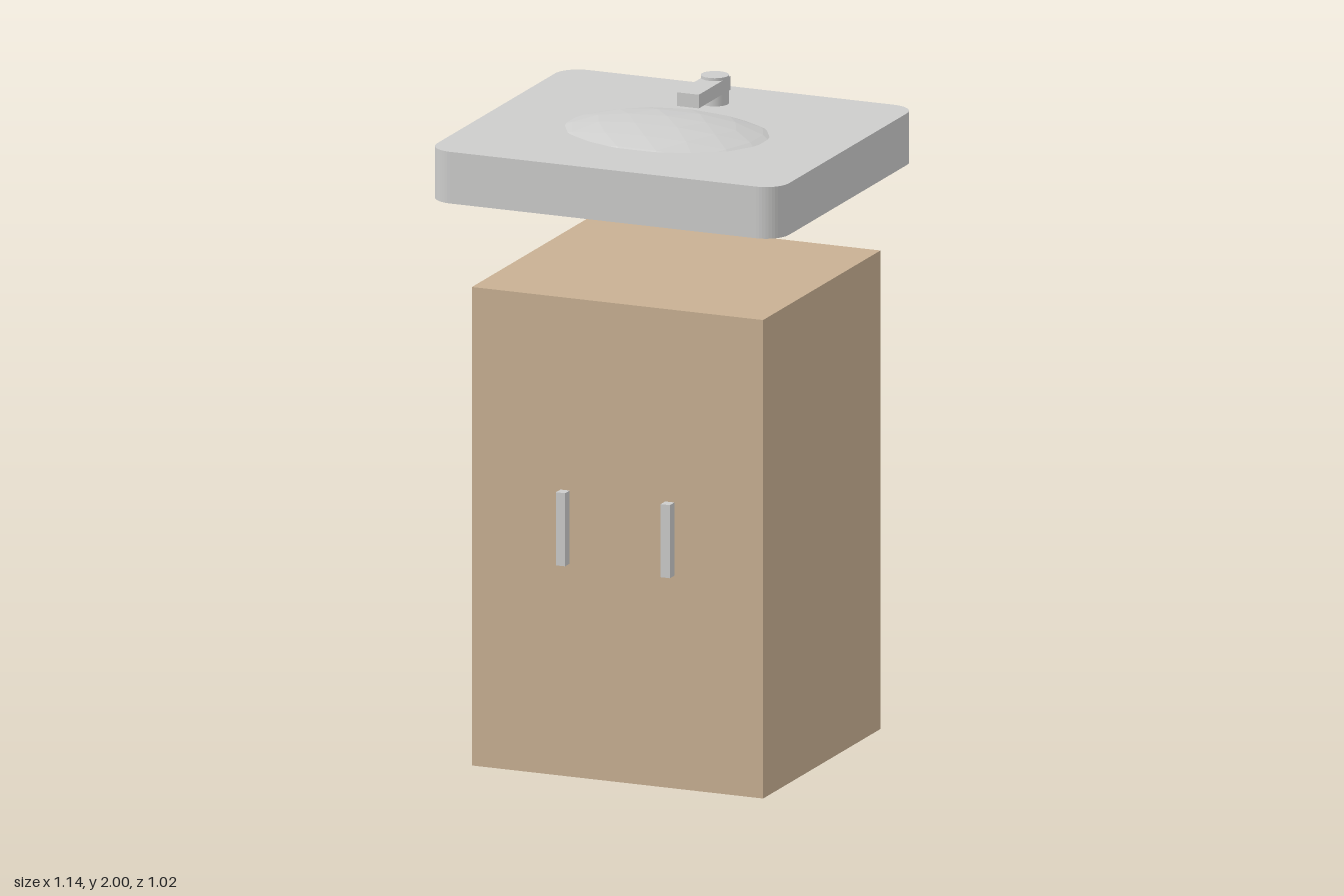
import * as THREE from 'three';

export function createModel() {
  const model = new THREE.Group();
  const ceramic = new THREE.MeshStandardMaterial({ color: 0xcccccb });
  ceramic.name = 'light grey';
  const wood = new THREE.MeshStandardMaterial({ color: 0xc8b093 });
  wood.name = 'pale wood';

  const add = (name, geometry, material, x, y, z) => {
    const mesh = new THREE.Mesh(geometry, material);
    mesh.name = name;
    mesh.position.set(x, y, z);
    model.add(mesh);
    return mesh;
  };

  // Cabinet with two upright handles
  add('cabinet', new THREE.BoxGeometry(0.945, 1.473, 0.87), wood, 0, 0.7365, -0.033);
  for (const side of [-1, 1]) {
    add(side > 0 ? 'leftHandle' : 'rightHandle',
      new THREE.BoxGeometry(0.03, 0.225, 0.036), ceramic, side * 0.17, 0.768, 0.418);
  }

  // Countertop slab with rounded vertical corners
  const w = 0.571, d = 0.512, r = 0.075;
  const outline = new THREE.Shape();
  outline.absarc(w - r, d - r, r, 0, Math.PI / 2);
  outline.absarc(r - w, d - r, r, Math.PI / 2, Math.PI);
  outline.absarc(r - w, r - d, r, Math.PI, Math.PI * 1.5);
  outline.absarc(w - r, r - d, r, Math.PI * 1.5, Math.PI * 2);
  outline.closePath();
  const slab = new THREE.ExtrudeGeometry(outline, { depth: 0.159, bevelEnabled: false, curveSegments: 6 });
  slab.rotateX(-Math.PI / 2);
  add('countertop', slab, ceramic, 0, 1.754, -0.002);

  // Faceted basin, a flattened ball passing through the slab
  const basin = new THREE.IcosahedronGeometry(1, 3);
  basin.scale(0.426, 0.137, 0.32);
  basin.computeVertexNormals(); // unshared corners give flat facets
  add('basin', basin, ceramic, 0, 1.823, 0.034);

  // Tap: round post and square spout
  add('tapPost', new THREE.CylinderGeometry(0.042, 0.042, 0.1, 32), ceramic, 0, 1.95, -0.32);
  add('tapSpout', new THREE.BoxGeometry(0.071, 0.042, 0.236), ceramic, 0, 1.97, -0.238);

  return model;
}
